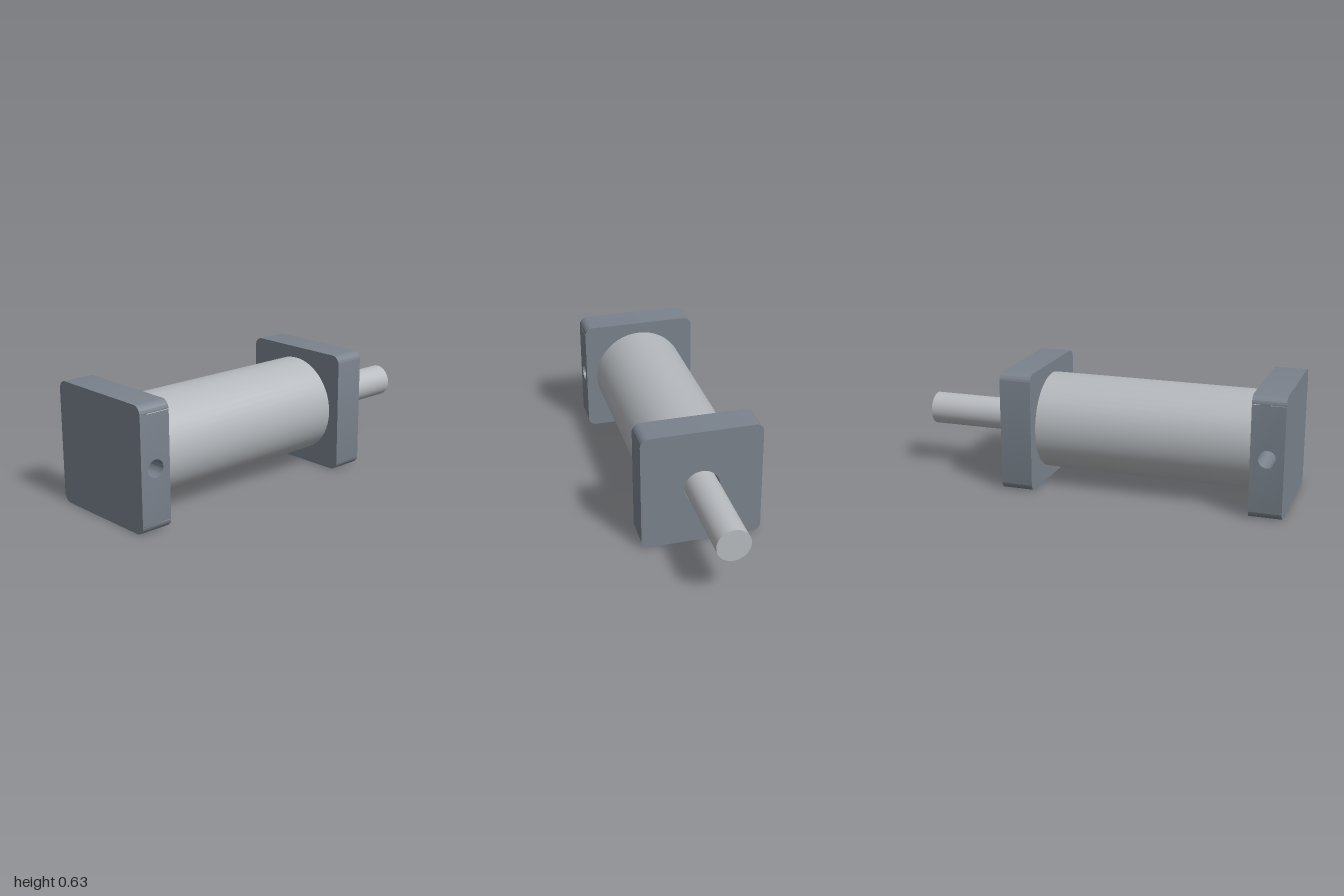
import * as THREE from 'three';
import { mergeGeometries, toCreasedNormals } from 'three/addons/utils/BufferGeometryUtils.js';

const H = 0.315;          // half size of the square end caps, also the axis height
const R = 0.045;          // rounded corner radius
const CAP = 0.168;        // end cap thickness
const PIN = 0.045;        // pivot hole radius
const BORE = 0.093;       // rod opening radius

function roundedSquare() {
  const s = new THREE.Shape();
  const k = H - R;
  s.absarc(k, k, R, 0, Math.PI / 2);
  s.absarc(-k, k, R, Math.PI / 2, Math.PI);
  s.absarc(-k, -k, R, Math.PI, Math.PI * 1.5);
  s.absarc(k, -k, R, Math.PI * 1.5, Math.PI * 2);
  s.closePath();
  return s;
}

// Extrude a shape along x, starting at x0
function extrudeX(shape, x0, depth) {
  const g = new THREE.ExtrudeGeometry(shape, { depth, bevelEnabled: false, curveSegments: 24 });
  return g.rotateY(Math.PI / 2).translate(x0, 0, 0);
}

// Rounded block with its two flat z sides left open
function openSidedBlock() {
  const src = extrudeX(roundedSquare(), -CAP / 2, CAP);
  const p = src.attributes.position;
  const keep = [];
  for (let i = 0; i < p.count; i += 3) {
    const onSide = (s) => [0, 1, 2].every((j) => Math.abs(p.getZ(i + j) - s * H) < 1e-4);
    if (onSide(1) || onSide(-1)) continue;
    for (let j = 0; j < 3; j++) keep.push(p.getX(i + j), p.getY(i + j), p.getZ(i + j));
  }
  const g = new THREE.BufferGeometry();
  g.setAttribute('position', new THREE.Float32BufferAttribute(keep, 3));
  return g;
}

// Rear cap: open block, two drilled side faces and the hole wall
function rearCapGeometry() {
  const k = H - R, w = CAP / 2;
  const side = new THREE.Shape();
  side.moveTo(-w, -k).lineTo(w, -k).lineTo(w, k).lineTo(-w, k).closePath();
  side.holes.push(new THREE.Path().absarc(0, 0, PIN, 0, Math.PI * 2, true));
  const front = new THREE.ShapeGeometry(side, 24).translate(0, 0, H);
  const back = front.clone().rotateY(Math.PI);
  const wall = new THREE.CylinderGeometry(PIN, PIN, 2 * H, 48, 1, true).rotateX(Math.PI / 2);
  wall.index.array.reverse(); // face inwards
  const pieces = [openSidedBlock(), front, back, wall].map((g) => {
    const flat = g.index ? g.toNonIndexed() : g;
    for (const name of ['uv', 'normal']) flat.deleteAttribute(name);
    return flat;
  });
  return toCreasedNormals(mergeGeometries(pieces), 0.6);
}

export function createModel() {
  const model = new THREE.Group();
  const axis = new THREE.Group(); // all parts share the cylinder axis
  axis.name = 'pneumaticCylinder';
  axis.position.y = H;
  model.add(axis);

  const material = (name, color) => {
    const m = new THREE.MeshStandardMaterial({ color });
    m.name = name;
    return m;
  };
  const capGrey = material('cap grey', 0x7a828c);
  const tubeSilver = material('tube silver', 0xb4b8bc);
  const rodSteel = material('rod steel', 0xb8bbbf);
  const brass = material('piston brass', 0xc2a05c);

  const add = (name, geometry, mat, x = 0) => {
    const mesh = new THREE.Mesh(geometry, mat);
    mesh.name = name;
    mesh.position.x = x;
    axis.add(mesh);
  };
  const rod = (radius, x0, x1) =>
    new THREE.CylinderGeometry(radius, radius, x1 - x0, 64)
      .rotateZ(-Math.PI / 2).translate((x0 + x1) / 2, 0, 0);

  // End caps
  add('rearCap', rearCapGeometry(), capGrey, -1 + CAP / 2);
  const frontShape = roundedSquare();
  frontShape.holes.push(new THREE.Path().absarc(0, 0, BORE, 0, Math.PI * 2, true));
  add('frontCap', toCreasedNormals(extrudeX(frontShape, 0.315, CAP), 0.6), capGrey);

  // Hollow barrel between the caps
  const ring = new THREE.Shape().absarc(0, 0, 0.255, 0, Math.PI * 2);
  ring.holes.push(new THREE.Path().absarc(0, 0, 0.225, 0, Math.PI * 2, true));
  add('barrel', toCreasedNormals(extrudeX(ring, -1 + CAP, 1.315 - CAP), 0.6), tubeSilver);

  // Piston inside the barrel, and its rod
  add('piston', rod(0.224, -0.2, -0.05), brass);
  add('pistonRod', rod(0.086, -0.05, 1), rodSteel);

  return model;
}
